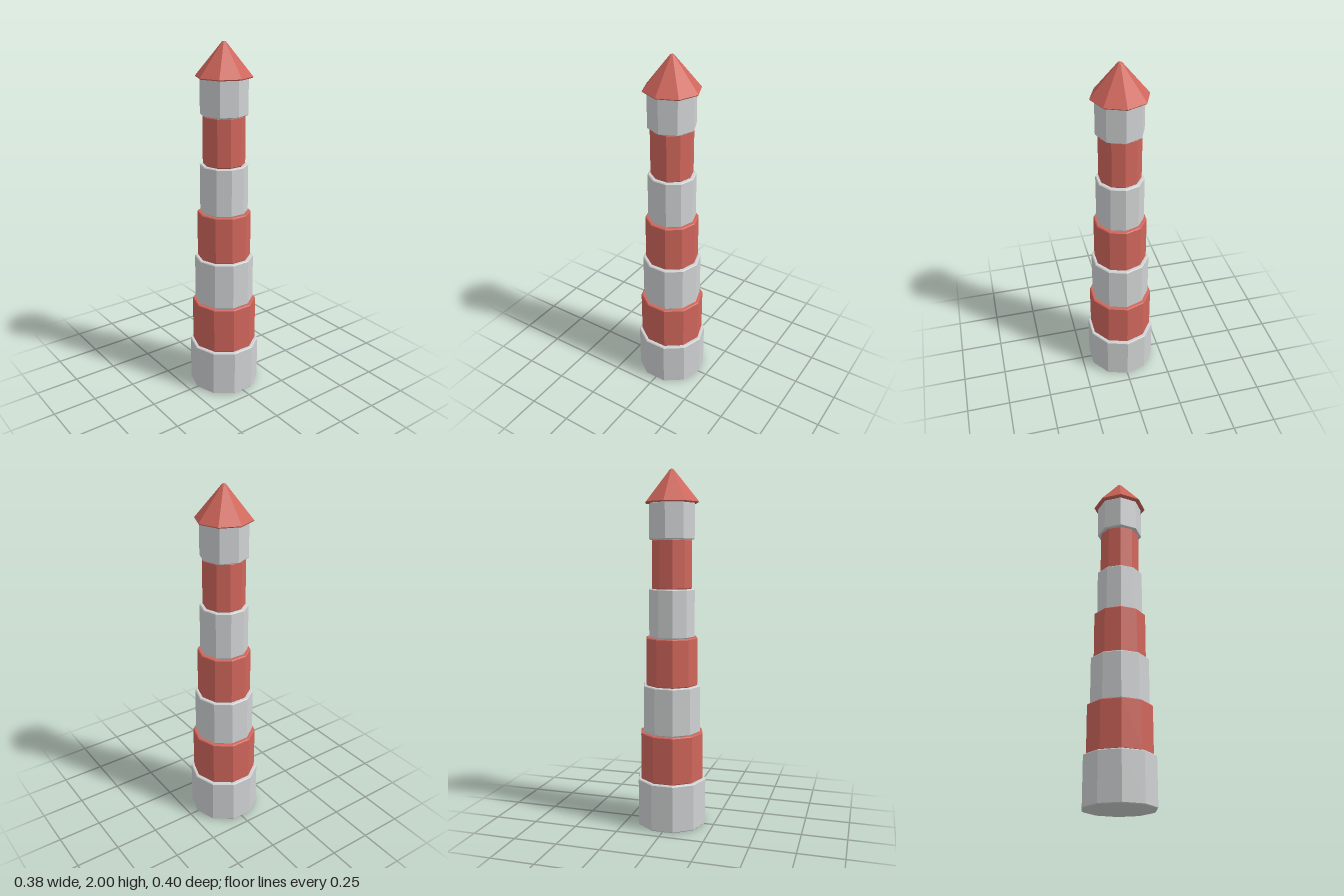
import * as THREE from 'three';

const white = new THREE.MeshStandardMaterial({ color: 0xcfd1d2 });
white.name = 'pale grey';
const red = new THREE.MeshStandardMaterial({ color: 0xd0665b });
red.name = 'brick red';

// Faceted solid turned from a closed profile of [radius, height] points
function facetedTurning(name, profile, sides, material) {
  const points = profile.map(([r, y]) => new THREE.Vector2(r, y));
  const geometry = new THREE.LatheGeometry(points, sides).toNonIndexed();
  geometry.computeVertexNormals();
  const mesh = new THREE.Mesh(geometry, material);
  mesh.name = name;
  return mesh;
}

// Straight drum with a fine chamfer on both rims
function drum(name, radius, bottom, top, sides, material) {
  const c = 0.005;
  return facetedTurning(name, [
    [0, bottom], [radius - c, bottom], [radius, bottom + c],
    [radius, top - c], [radius - c, top], [0, top],
  ], sides, material);
}

export function createModel() {
  const model = new THREE.Group();
  model.name = 'lighthouse';

  // Ten-sided tower of six narrowing tiers in alternating colours
  const tower = new THREE.Group();
  tower.name = 'tower';
  const tierHeight = 0.27;
  for (let i = 0; i < 6; i++) {
    const radius = 0.2 - i * 0.0168;
    tower.add(drum(`towerTier${i + 1}`, radius, i * tierHeight, (i + 1) * tierHeight, 10, i % 2 ? red : white));
  }
  model.add(tower);

  // Eight-sided lantern room
  model.add(drum('lanternRoom', 0.131, 1.62, 1.82, 8, white));

  // Eight-sided roof with a small blunt tip
  model.add(facetedTurning('roof', [
    [0, 1.817], [0.15, 1.817], [0.155, 1.823], [0.012, 1.997], [0.008, 2], [0, 2],
  ], 8, red));

  return model;
}
